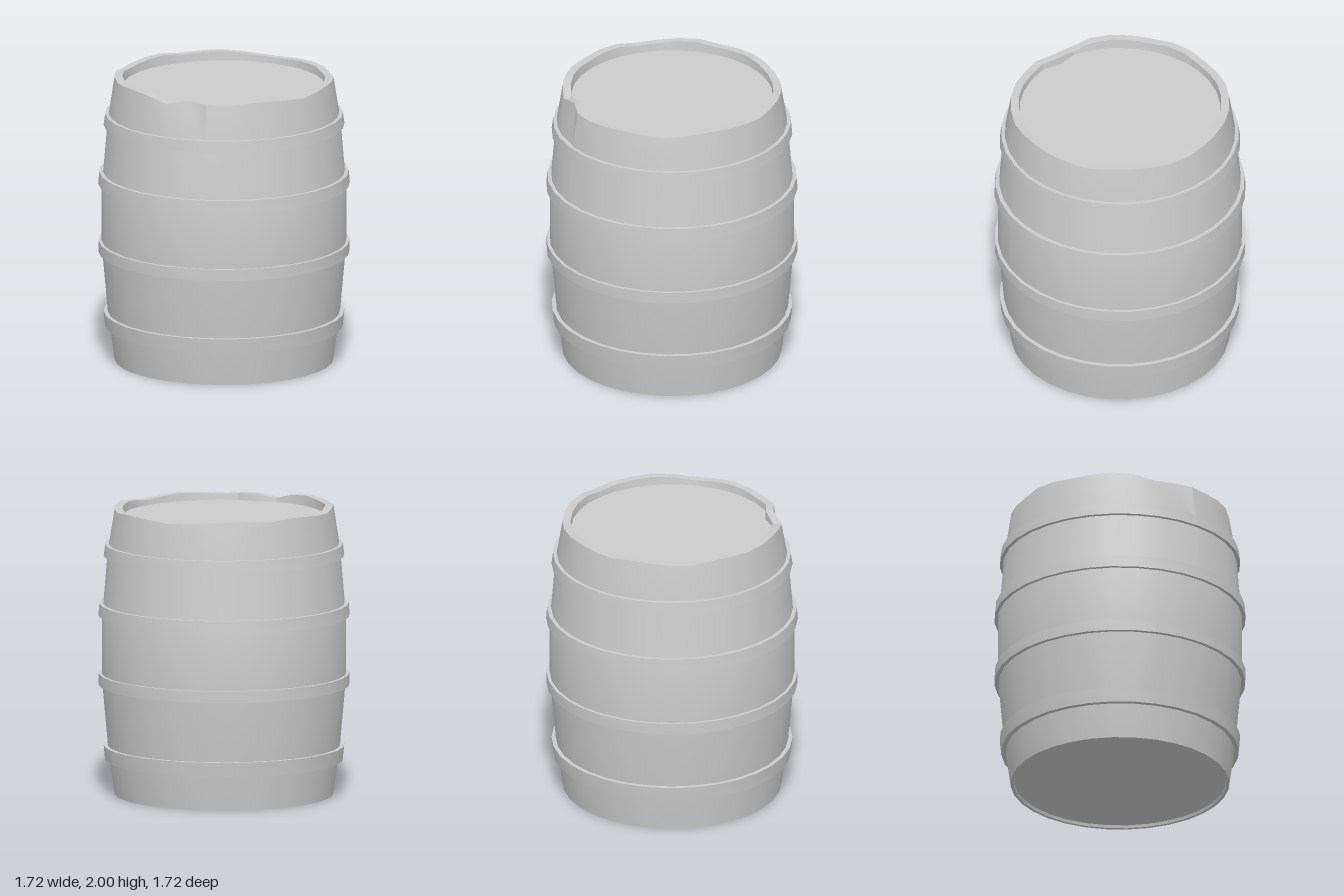
import * as THREE from 'three';
import { toCreasedNormals } from 'three/addons/utils/BufferGeometryUtils.js';

const SIDES = 32;
const material = new THREE.MeshStandardMaterial({ color: 0xcccccc });

// Worn rim: height of each rim corner, going from +x towards +z
const RIM = [
  1.985, 1.985, 1.97, 1.98, 1.985, 1.99, 1.98, 1.965,
  1.975, 1.985, 1.98, 1.97, 1.975, 1.985, 1.955, 1.99,
  2.0, 1.995, 1.99, 2.0, 2.0, 1.98, 1.985, 1.995,
  2.0, 1.985, 1.99, 1.995, 1.985, 1.975, 1.97, 1.98,
];
const CHIP = 13; // rim corner that is dented inwards

function lathe(name, profile, deform) {
  const geometry = new THREE.LatheGeometry(profile.map(([r, y]) => new THREE.Vector2(r, y)), SIDES);
  if (deform) deform(geometry.attributes.position);
  const mesh = new THREE.Mesh(toCreasedNormals(geometry, 0.45), material);
  mesh.name = name;
  return mesh;
}

// Uneven top edge and the dent
function wearRim(position) {
  for (let i = 0; i < position.count; i++) {
    const x = position.getX(i), y = position.getY(i), z = position.getZ(i);
    if (y < 1.9 || Math.hypot(x, z) < 0.5) continue;
    const k = (Math.round(Math.atan2(z, x) / (Math.PI * 2) * SIDES) + SIDES) % SIDES;
    const s = k === CHIP ? 0.945 : 1;
    position.setXYZ(i, x * s, y > 1.95 ? RIM[k] : y, z * s);
  }
}

export function createModel() {
  const barrel = new THREE.Group();
  barrel.name = 'barrel';

  // Bulging staves, recessed bottom and sunken lid in one closed shell
  barrel.add(lathe('staves', [
    [0, 0.02], [0.725, 0.02], [0.73, 0], [0.75, 0],
    [0.795, 0.33], [0.835, 0.78], [0.838, 0.84], [0.838, 1.24],
    [0.832, 1.28], [0.797, 1.69], [0.75, 2],
    [0.695, 2], [0.69, 1.93], [0, 1.93],
  ], wearRim));

  // Hoops: bottom y, top y, bottom radius, top radius
  const hoops = [
    ['bottomHoop', 0.24, 0.34, 0.815, 0.825],
    ['lowerHoop', 0.76, 0.84, 0.86, 0.86],
    ['upperHoop', 1.24, 1.325, 0.862, 0.855],
    ['topHoop', 1.655, 1.735, 0.825, 0.815],
  ];
  for (const [name, y0, y1, r0, r1] of hoops) {
    barrel.add(lathe(name, [[r0 - 0.06, y0], [r0, y0], [r1, y1], [r1 - 0.06, y1]]));
  }
  return barrel;
}
